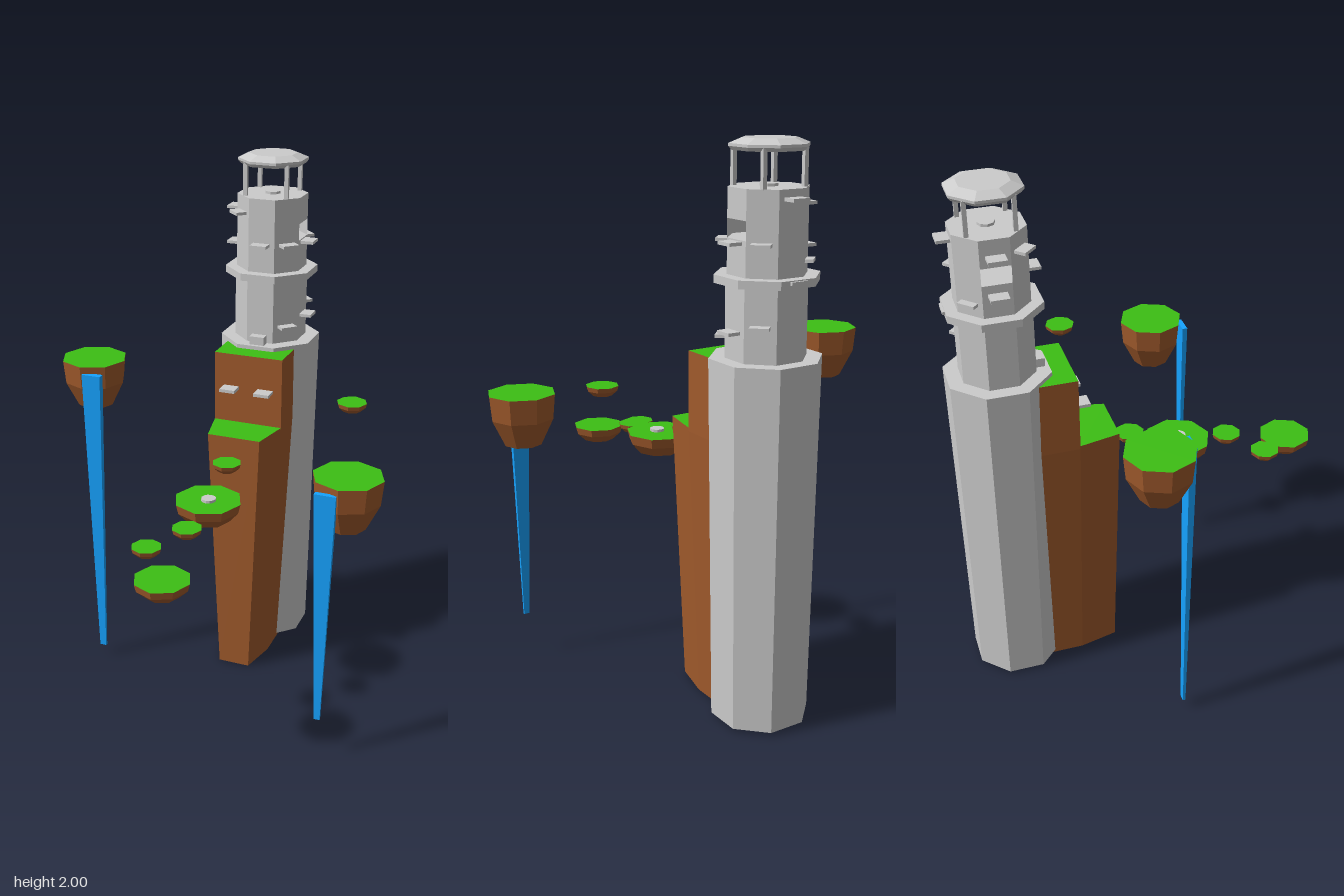
import * as THREE from 'three';

const mat = (color) => new THREE.MeshStandardMaterial({ color, flatShading: true, side: THREE.DoubleSide });
const TX = 0.015, TZ = -0.523; // tower axis
const EIGHTH = Math.PI / 4;
const CORNER = 1 / Math.cos(Math.PI / 8); // flat-to-flat radius -> corner radius

export function createModel() {
  const model = new THREE.Group();
  const stone = mat(0xcccccc), earth = mat(0xa05a2c), grass = mat(0x3dbe14), water = mat(0x16a3ff);

  const add = (name, geometry, material, x = 0, y = 0, z = 0, parent = model) => {
    const mesh = new THREE.Mesh(geometry, material);
    mesh.name = name;
    mesh.position.set(x, y, z);
    parent.add(mesh);
    return mesh;
  };

  // Octagonal drum with flat sides facing the axes
  const drum = (name, rBottom, rTop, y0, y1, parent) => {
    const g = new THREE.CylinderGeometry(rTop * CORNER, rBottom * CORNER, y1 - y0, 8);
    g.rotateY(Math.PI / 8);
    return add(name, g, stone, 0, (y0 + y1) / 2, 0, parent);
  };

  // Tower
  const tower = new THREE.Group();
  tower.name = 'tower';
  tower.position.set(TX, 0, TZ);
  model.add(tower);
  drum('towerBase', 0.16, 0.177, 0.015, 1.3, tower);
  drum('lowerTower', 0.127, 0.127, 1.3, 1.55, tower);
  drum('balcony', 0.163, 0.163, 1.547, 1.574, tower);
  drum('upperTower', 0.123, 0.123, 1.574, 1.69, tower);
  drum('upperTowerTop', 0.123, 0.123, 1.752, 1.85, tower);

  // Walls between the two side windows
  for (const start of [-1.5, 2.5]) {
    const wall = new THREE.CylinderGeometry(0.123 * CORNER, 0.123 * CORNER, 0.062, 3, 1, true, start * EIGHTH, 3 * EIGHTH);
    add('windowWall', wall, stone, 0, 1.721, 0, tower);
  }

  // Lantern platform, posts and roof
  add('lanternDisc', new THREE.CylinderGeometry(0.03, 0.03, 0.012, 8), stone, 0, 1.853, 0, tower);
  for (const sx of [-1, 1]) for (const sz of [-1, 1]) {
    add('roofPost', new THREE.BoxGeometry(0.015, 0.125, 0.015), stone, sx * 0.08, 1.91, sz * 0.08, tower);
  }
  drum('roofUnderside', 0.113, 0.122, 1.962, 1.974, tower);
  drum('roofEdge', 0.122, 0.122, 1.974, 1.983, tower);
  drum('roofTop', 0.122, 0.083, 1.983, 2.0, tower);

  // Spiral steps: [eighth turn from front towards +x, height, outer reach]
  const steps = [
    [1, 1.365, 0.165], [2, 1.395, 0.172], [3, 1.42, 0.165], [4, 1.565, 0.172],
    [0, 1.68, 0.167], [1, 1.68, 0.165], [2, 1.68, 0.172], [3, 1.68, 0.165],
    [5, 1.62, 0.15], [6, 1.655, 0.172], [6, 1.79, 0.172], [7, 1.79, 0.165], [4, 1.82, 0.17],
  ];
  for (const [turn, y, reach] of steps) {
    const g = new THREE.BoxGeometry(0.064, 0.011, 0.06);
    g.translate(0, 0, reach - 0.03);
    add('step', g, stone, 0, y, 0, tower).rotation.y = turn * EIGHTH;
  }
  add('firstStep', new THREE.BoxGeometry(0.058, 0.034, 0.034), stone, 0, 1.315, 0.146, tower);

  // Cliff: sides lofted between two outlines, grass caps
  const build = (points, index) => {
    const g = new THREE.BufferGeometry();
    g.setAttribute('position', new THREE.Float32BufferAttribute(points.flat(), 3));
    g.setIndex(index);
    const flat = g.toNonIndexed();
    flat.computeVertexNormals();
    return flat;
  };
  const cliff = (name, bottom, y0, top, y1) => {
    const n = bottom.length, sides = [], upper = [], lower = [];
    const points = [...bottom.map(([x, z]) => [x, y0, z]), ...top.map(([x, z]) => [x, y1, z])];
    for (let i = 0; i < n; i++) {
      const j = (i + 1) % n;
      sides.push(i, j, n + j, i, n + j, n + i);
      if (i > 0 && i < n - 1) {
        upper.push(n, n + i, n + i + 1);
        lower.push(0, i + 1, i);
      }
    }
    add(name + 'Rock', build(points, sides), earth);
    add(name + 'Grass', build(points, [...upper, ...lower]), grass);
  };
  // Outline symmetric about the tower axis, from [half width, z] pairs, front to back
  const outline = (pairs) => [
    ...pairs.map(([w, z]) => [TX + w, z]),
    ...pairs.slice().reverse().map(([w, z]) => [TX - w, z]),
  ];
  cliff('lowerCliff',
    outline([[0.062, -0.135], [0.095, -0.28], [0.095, -0.61]]), 0.003,
    outline([[0.103, -0.116], [0.135, -0.27], [0.135, -0.61]]), 1.012);
  const ledge = outline([[0.135, -0.27], [0.135, -0.6]]);
  cliff('upperCliff', ledge, 1.0, ledge, 1.285);

  for (const x of [-0.052, 0.085]) {
    add('cliffLedge', new THREE.BoxGeometry(0.06, 0.012, 0.08), stone, x, 1.152, -0.258);
  }

  // Floating islands: [x, z, radius, top, bottom, bottom radius ratio]
  const islands = [
    [-0.554, -0.118, 0.125, 1.258, 1.073, 0.55],
    [0.55, 0.207, 0.125, 1.088, 0.898, 0.55],
    [0.444, -0.195, 0.056, 1.19, 1.157, 0.6],
    [0.015, -0.048, 0.055, 0.94, 0.907, 0.6],
    [0.015, 0.14, 0.125, 0.873, 0.797, 0.65],
    [0.015, 0.339, 0.055, 0.855, 0.822, 0.6],
    [-0.087, 0.457, 0.055, 0.82, 0.787, 0.6],
    [0.03, 0.59, 0.1, 0.787, 0.728, 0.6],
  ];
  for (const [x, z, r, top, bottom, ratio] of islands) {
    const mid = top - (top - bottom) * 0.48;
    const profile = [[0, bottom], [r * ratio, bottom], [r * 0.93, mid], [r, top]];
    add('islandRock', new THREE.LatheGeometry(profile.map(([a, b]) => new THREE.Vector2(a, b)), 8), earth, x, 0, z);
    const cap = new THREE.CircleGeometry(r, 8);
    cap.rotateX(-Math.PI / 2);
    add('islandGrass', cap, grass, x, top, z);
  }
  add('islandDisc', new THREE.CylinderGeometry(0.027, 0.027, 0.012, 12), stone, 0.02, 0.877, 0.147);

  // Waterfalls: boxes narrowing downwards
  const waterfall = (x, z, top, bottom, wTop, wBottom, depth) => {
    const g = new THREE.BoxGeometry(1, top - bottom, depth);
    const p = g.attributes.position;
    for (let i = 0; i < p.count; i++) {
      const low = p.getY(i) < 0;
      p.setX(i, p.getX(i) * (low ? wBottom : wTop));
      if (low) p.setZ(i, p.getZ(i) * 0.4);
    }
    g.computeVertexNormals();
    add('waterfall', g, water, x, (top + bottom) / 2, z);
  };
  waterfall(-0.508, -0.002, 1.232, 0.05, 0.075, 0.026, 0.026);
  waterfall(0.507, 0.326, 1.064, 0.17, 0.077, 0.022, 0.02);

  return model;
}
